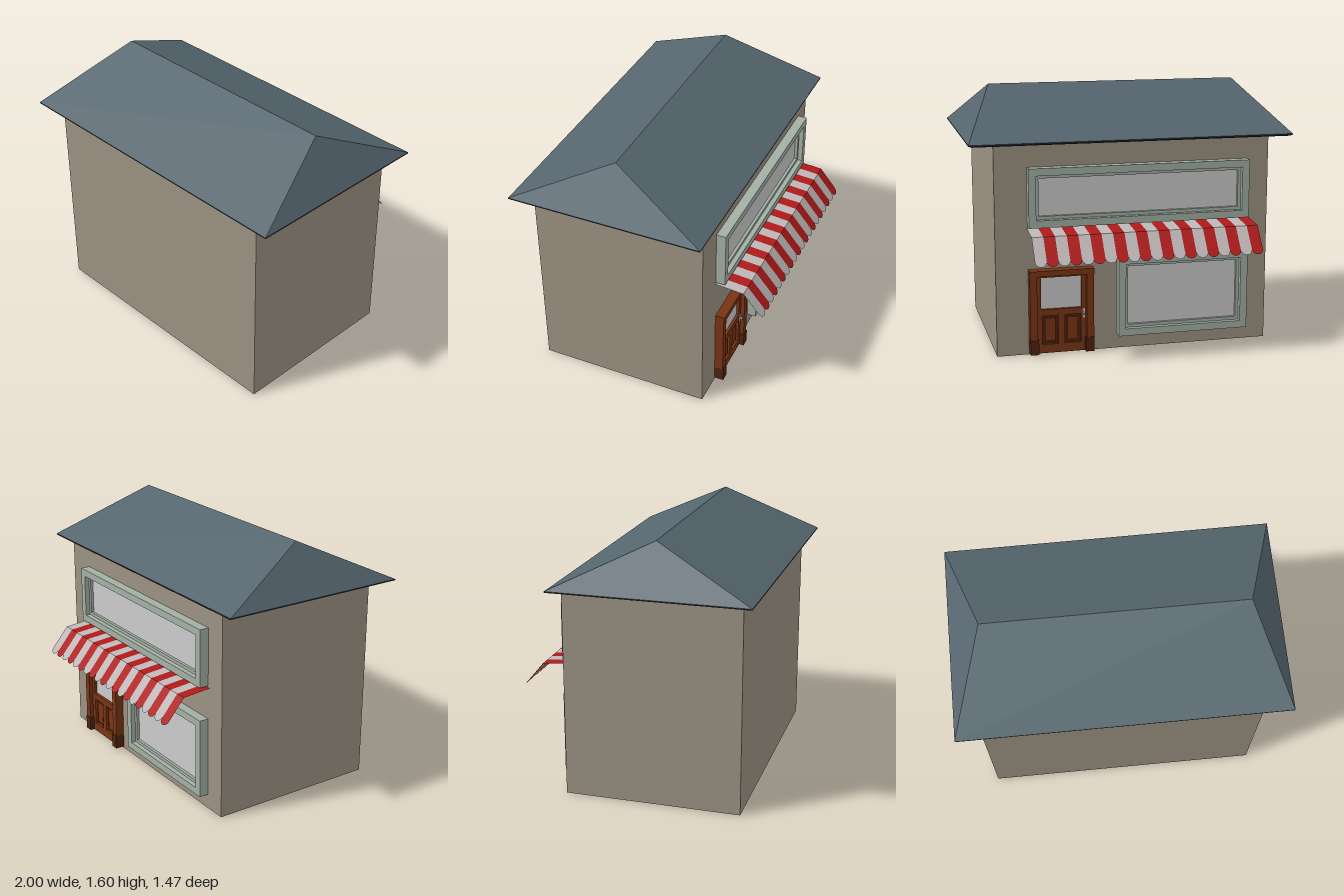
import * as THREE from 'three';

const mat = (color, side = THREE.FrontSide) =>
  new THREE.MeshStandardMaterial({ color, side, flatShading: true });
const WALL = mat(0x9b9282), RIM = mat(0x6b655b), ROOF = mat(0x55656e), EAVE = mat(0x2c3337);
const GREY = mat(0xcccccc), FRAME = mat(0xa3b0a5);
const WOOD = mat(0x7a3414), DARK_WOOD = mat(0x4f230f);
const RED = mat(0xb01a1a, THREE.DoubleSide), WHITE = mat(0xbfb8b8, THREE.DoubleSide);

function add(parent, name, geometry, material, x = 0, y = 0, z = 0) {
  const mesh = new THREE.Mesh(geometry, material);
  mesh.name = name;
  mesh.position.set(x, y, z);
  parent.add(mesh);
  return mesh;
}

const box = (w, h, d) => new THREE.BoxGeometry(w, h, d);

// Box without its bottom face
function openBox(w, h, d) {
  const g = box(w, h, d), i = Array.from(g.index.array);
  i.splice(18, 6);
  g.setIndex(i);
  g.clearGroups();
  return g;
}

// Closed rectangle outline centred at (cx, cy)
function rect(Type, w, h, cx = 0, cy = 0) {
  const p = new Type();
  p.moveTo(cx - w / 2, cy - h / 2);
  p.lineTo(cx + w / 2, cy - h / 2);
  p.lineTo(cx + w / 2, cy + h / 2);
  p.lineTo(cx - w / 2, cy + h / 2);
  p.closePath();
  return p;
}

// Rectangle with rectangular holes [w, h, cx, cy]
function panel(w, h, holes) {
  const s = rect(THREE.Shape, w, h);
  for (const o of holes) s.holes.push(rect(THREE.Path, ...o));
  return s;
}
const extrude = (shape, depth) => new THREE.ExtrudeGeometry(shape, { depth, bevelEnabled: false });

// Loft of rectangles [y, halfX, halfZ], flat shaded
function loftRects(rings) {
  const pos = [];
  const corners = rings.map(([y, a, b]) => [[a, y, b], [a, y, -b], [-a, y, -b], [-a, y, b]]);
  for (let r = 0; r < rings.length - 1; r++) {
    for (let k = 0; k < 4; k++) {
      const p = corners[r][k], q = corners[r][(k + 1) % 4];
      const s = corners[r + 1][(k + 1) % 4], t = corners[r + 1][k];
      pos.push(...p, ...q, ...s, ...p, ...s, ...t);
    }
  }
  const g = new THREE.BufferGeometry();
  g.setAttribute('position', new THREE.Float32BufferAttribute(pos, 3));
  g.computeVertexNormals();
  return g;
}

// Stepped window frame with a recessed pane
function addWindow(parent, name, x0, x1, y0, y1) {
  const w = x1 - x0, h = y1 - y0, g = new THREE.Group();
  g.name = name;
  g.position.set((x0 + x1) / 2, (y0 + y1) / 2, 0);
  add(g, 'outerFrame', extrude(panel(w, h, [[w - 0.09, h - 0.09]]), 0.06), FRAME);
  add(g, 'innerFrame', extrude(panel(w - 0.09, h - 0.09, [[w - 0.13, h - 0.13]]), 0.03), FRAME);
  add(g, 'pane', new THREE.PlaneGeometry(w - 0.12, h - 0.12), GREY, 0, 0, 0.012);
  parent.add(g);
}

function addDoor(parent, x, y0, w, h) {
  const g = new THREE.Group();
  g.name = 'door';
  g.position.set(x, y0, 0);
  const jamb = 0.045, inW = w - 2 * jamb, inH = h - 0.035;
  for (const s of [-1, 1]) {
    add(g, 'doorJamb', box(jamb, h - 0.09, 0.055), WOOD, s * (w - jamb) / 2, 0.09 + (h - 0.09) / 2, 0.0275);
    add(g, 'jambPlinth', box(0.052, 0.09, 0.06), DARK_WOOD, s * (w - 0.052) / 2, 0.045, 0.03);
  }
  add(g, 'doorHeader', box(w, 0.035, 0.062), WOOD, 0, h - 0.0175, 0.031);
  // Leaf with a window above two sunken panels
  const holes = [[0.25, 0.2, 0, 0.13], [0.1, 0.18, -0.07, -0.1], [0.1, 0.18, 0.07, -0.1]];
  add(g, 'doorLeaf', extrude(panel(inW, inH, holes), 0.03), WOOD, 0, inH / 2, 0);
  add(g, 'doorPane', new THREE.PlaneGeometry(0.25, 0.2), GREY, 0, inH / 2 + 0.13, 0.012);
  for (const s of [-1, 1]) {
    add(g, 'sunkenPanel', box(0.1, 0.18, 0.01), DARK_WOOD, s * 0.07, inH / 2 - 0.1, 0.007);
    add(g, 'raisedPanel', box(0.065, 0.145, 0.01), WOOD, s * 0.07, inH / 2 - 0.1, 0.016);
  }
  // Handle
  add(g, 'handlePlate', box(0.012, 0.06, 0.006), GREY, 0.137, 0.24, 0.033);
  add(g, 'doorKnob', new THREE.SphereGeometry(0.009, 10, 8), GREY, 0.137, 0.24, 0.044);
  parent.add(g);
}

// Striped awning: near-flat canopy and a sloping scalloped valance
function addAwning(parent, x0, x1, count) {
  const g = new THREE.Group();
  g.name = 'awning';
  const w = (x1 - x0) / count, r = w / 2;
  const yTop = 0.79, yFold = 0.775, yTip = 0.625, zFold = 0.18, zTip = 0.305;
  const topLen = Math.hypot(zFold, yTop - yFold), len = Math.hypot(zTip - zFold, yFold - yTip);
  const canopy = new THREE.ShapeGeometry(rect(THREE.Shape, w, topLen, 0, -topLen / 2));
  const s = new THREE.Shape();
  s.moveTo(r, 0);
  s.lineTo(-r, 0);
  s.lineTo(-r, r - len);
  s.absarc(0, r - len, r, Math.PI, 2 * Math.PI, false);
  s.closePath();
  const valance = new THREE.ShapeGeometry(s, 8);
  for (let i = 0; i < count; i++) {
    const m = i % 2 ? RED : WHITE, x = x0 + w * (i + 0.5);
    add(g, 'canopyStripe', canopy, m, x, yTop, 0).rotation.x = -Math.atan2(zFold, yTop - yFold);
    add(g, 'valanceStripe', valance, m, x, yFold, zFold).rotation.x =
      -Math.atan2(zTip - zFold, yFold - yTip);
  }
  parent.add(g);
}

export function createModel() {
  const model = new THREE.Group();
  model.name = 'shop';

  // Hollow body, open underneath
  const W = 1.71, H = 1.3, D = 1.083, T = 0.045, cz = 0.1085;
  add(model, 'walls', openBox(W, H, D), WALL, -0.003, H / 2, cz);
  const inner = GREY.clone();
  inner.side = THREE.BackSide;
  add(model, 'interior', openBox(W - 2 * T, H - 0.01, D - 2 * T), inner, -0.003, (H - 0.01) / 2, cz);
  const rim = new THREE.ShapeGeometry(panel(W, D, [[W - 2 * T, D - 2 * T]]));
  add(model, 'wallRim', rim.rotateX(Math.PI / 2), RIM, -0.003, 0, cz);

  // Hipped roof with a thin dark eave
  add(model, 'roof', loftRects([[1.31, 1, 0.605], [1.6, 0.797, 0]]), ROOF, 0, 0, 0.125);
  add(model, 'eave', loftRects([[1.296, 0, 0], [1.296, 0.98, 0.597], [1.303, 1, 0.605], [1.31, 1, 0.605]]),
    EAVE, 0, 0, 0.125);

  // Shop front on the rear wall, modelled facing +z and turned around
  const facade = new THREE.Group();
  facade.name = 'shopFront';
  facade.rotation.y = Math.PI;
  facade.position.z = -0.432;
  addWindow(facade, 'upperWindow', -0.655, 0.72, 0.8, 1.16);
  addWindow(facade, 'displayWindow', -0.105, 0.72, 0.09, 0.59);
  addDoor(facade, -0.4575, 0.01, 0.395, 0.525);
  addAwning(facade, -0.66, 0.735, 20);
  model.add(facade);

  return model;
}
